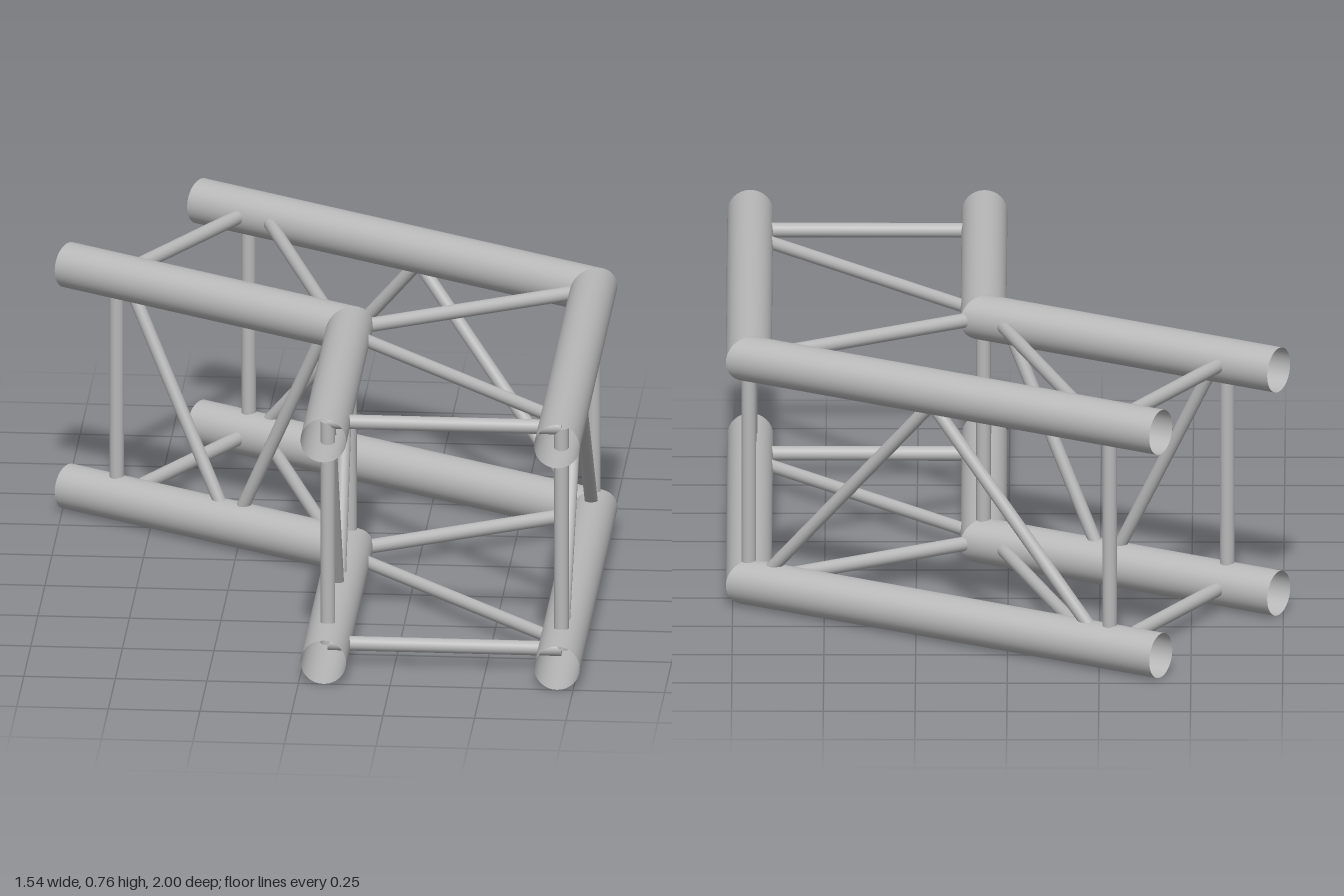
import * as THREE from 'three';

const R = 0.0625;            // chord radius
const ROD = 0.02;            // brace radius
const LOW = 0.0625, HIGH = 0.7015;
const TURN = -Math.PI * 2 / 3;
const INNER = { x: 0.068, z: 0.07, length: 0.93 };
const OUTER = { x: 0.706, z: -0.298, length: 1.298 };

export function createModel() {
  const model = new THREE.Group();
  model.name = 'cornerTruss';
  const aluminium = new THREE.MeshStandardMaterial({ color: 0xb8b8b8, side: THREE.DoubleSide });
  aluminium.name = 'aluminium';

  // Hollow chord with one end cut at the mitre of the corner
  function chord(rail, y, angle, name) {
    const g = new THREE.CylinderGeometry(R, R, rail.length, 32, 1, true);
    g.rotateX(Math.PI / 2).translate(0, 0, rail.length / 2);
    const p = g.attributes.position;
    const slope = (angle ? 1 : -1) * Math.tan(Math.PI / 6);
    for (let i = 0; i < p.count; i++) {
      if (p.getZ(i) < 0.01) p.setZ(i, p.getX(i) * slope);
    }
    const mesh = new THREE.Mesh(g, aluminium);
    mesh.rotation.y = angle;
    mesh.position.set(rail.x, y, rail.z);
    mesh.name = name;
    model.add(mesh);
  }

  // Round bar between two points
  function rod(a, b, name, radius = ROD) {
    const dir = b.clone().sub(a);
    const mesh = new THREE.Mesh(new THREE.CylinderGeometry(radius, radius, dir.length(), 20), aluminium);
    mesh.position.copy(a).add(b).multiplyScalar(0.5);
    mesh.quaternion.setFromUnitVectors(new THREE.Vector3(0, 1, 0), dir.normalize());
    mesh.name = name;
    model.add(mesh);
  }

  // Point on a chord axis at distance d from the corner
  const at = (rail, d, y, angle) =>
    new THREE.Vector3(rail.x + Math.sin(angle) * d, y, rail.z + Math.cos(angle) * d);

  const END_IN = 0.768, END_OUT = 1.137;

  for (const [leg, angle] of [['front', 0], ['side', TURN]]) {
    for (const y of [LOW, HIGH]) {
      chord(INNER, y, angle, leg + 'InnerChord');
      chord(OUTER, y, angle, leg + 'OuterChord');
      // Level bracing
      rod(at(INNER, END_IN, y, angle), at(OUTER, END_OUT, y, angle), leg + 'EndBrace');
      rod(at(INNER, 0.04, y, angle), at(OUTER, 1.085, y, angle), leg + 'LevelDiagonal', 0.018);
    }
    // End posts
    rod(at(INNER, END_IN, LOW, angle), at(INNER, END_IN, HIGH, angle), leg + 'InnerPost');
    rod(at(OUTER, END_OUT, LOW, angle), at(OUTER, END_OUT, HIGH, angle), leg + 'OuterPost');
    // Zigzag bracing: chord, distance at bottom, distance at top
    const zigzag = [
      [INNER, 0.40, 0.735], [INNER, 0.378, 0.07],
      [OUTER, 1.115, 0.545], [OUTER, 0.025, 0.61],
    ];
    for (const [rail, bottom, top] of zigzag) {
      rod(at(rail, bottom, LOW, angle), at(rail, top, HIGH, angle), leg + 'Diagonal', 0.018);
    }
  }

  // Corner posts and braces
  for (const rail of [INNER, OUTER]) rod(at(rail, 0, LOW, 0), at(rail, 0, HIGH, 0), 'cornerPost');
  for (const y of [LOW, HIGH]) rod(at(INNER, 0, y, 0), at(OUTER, 0, y, 0), 'cornerBrace');

  return model;
}
